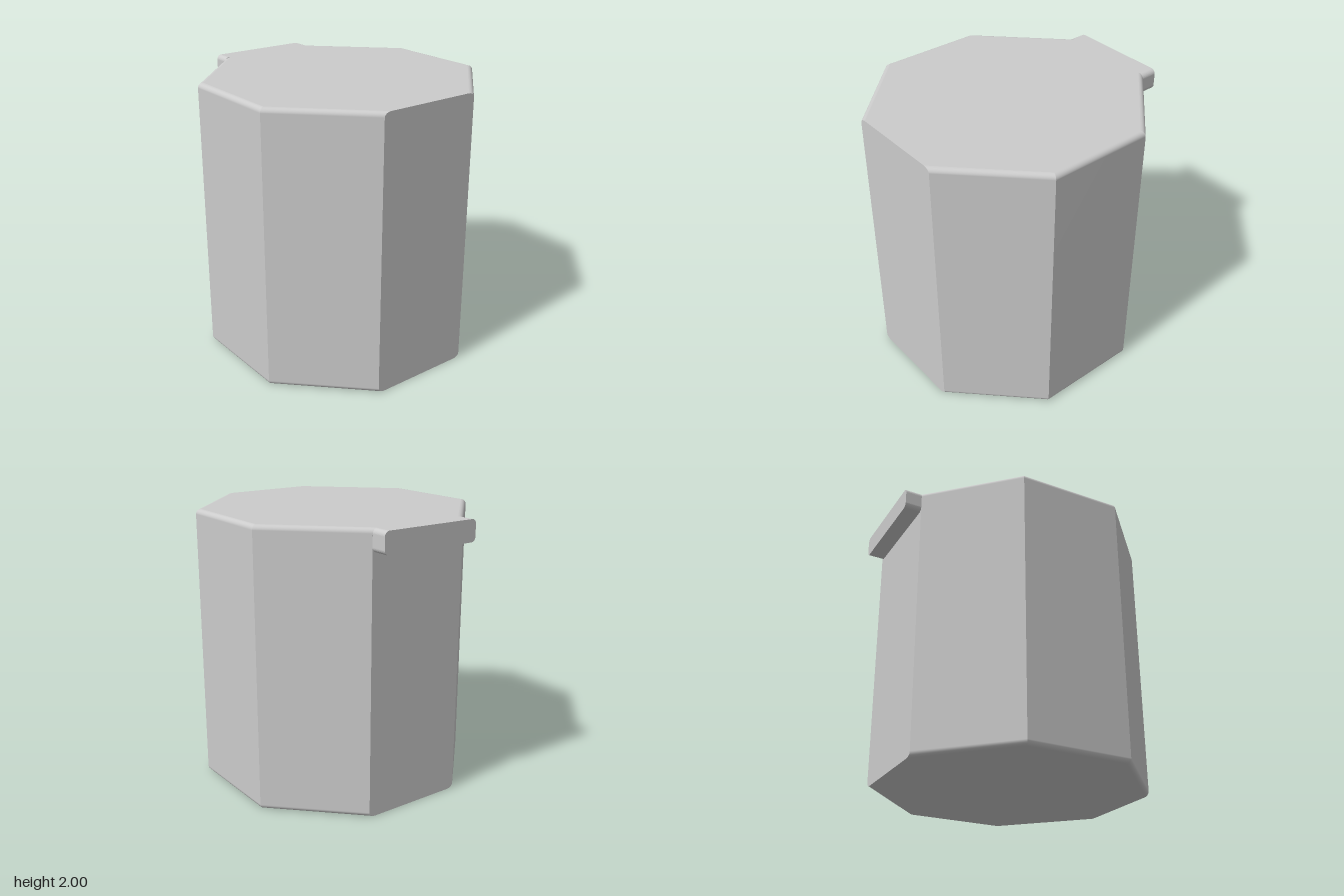
import * as THREE from 'three';

const A = 0.925;        // centre to flat of the octagon
const R = 0.035;        // edge rounding
const STEPS = 6;
const CZ = 0.06;        // body centre in z
const SQ = Math.SQRT2;

// Octagon corners at height y; all flats but front and back move inward by d.
function ring(d, y) {
  const front = A * (SQ - 1) - d * SQ;
  const side = A * (SQ - 1) - d * (SQ - 1);
  const x = A - d;
  return [
    [-front, A], [front, A], [x, side], [x, -side],
    [front, -A], [-front, -A], [-x, -side], [-x, side],
  ].map(([px, pz]) => [px, y, pz]);
}

function bodyGeometry() {
  const rows = [];
  for (const top of [false, true]) {
    for (let i = 0; i <= STEPS; i++) {
      const a = ((top ? i : STEPS - i) / STEPS) * Math.PI / 2;
      const rise = R * (1 - Math.sin(a));
      rows.push(ring(R * (1 - Math.cos(a)), top ? 2 - rise : rise));
    }
  }
  const pos = [], idx = [];
  // walls: one strip per flat, so the upright corners stay sharp
  for (let f = 0; f < 8; f++) {
    const base = pos.length / 3;
    rows.forEach((r) => pos.push(...r[f], ...r[(f + 1) % 8]));
    for (let j = 0; j < rows.length - 1; j++) {
      const a = base + j * 2;
      idx.push(a, a + 1, a + 3, a, a + 3, a + 2);
    }
  }
  // flat top and bottom
  for (const [r, up] of [[rows[0], false], [rows[rows.length - 1], true]]) {
    const base = pos.length / 3;
    r.forEach((p) => pos.push(...p));
    for (let i = 1; i < 7; i++) {
      if (up) idx.push(base, base + i, base + i + 1);
      else idx.push(base, base + i + 1, base + i);
    }
  }
  const g = new THREE.BufferGeometry();
  g.setAttribute('position', new THREE.Float32BufferAttribute(pos, 3));
  g.setIndex(idx);
  g.computeVertexNormals();
  return g;
}

// Rounded bar extruded along z
function tabGeometry(w, y0, y1, depth) {
  const s = new THREE.Shape();
  const h = w / 2, q = Math.PI / 2;
  s.absarc(h - R, y0 + R, R, -q, 0);
  s.absarc(h - R, y1 - R, R, 0, q);
  s.absarc(-h + R, y1 - R, R, q, 2 * q);
  s.absarc(-h + R, y0 + R, R, 2 * q, 3 * q);
  s.closePath();
  return new THREE.ExtrudeGeometry(s, { depth, bevelEnabled: false, curveSegments: STEPS });
}

export function createModel() {
  const group = new THREE.Group();
  const material = new THREE.MeshStandardMaterial({ color: 0xcccccc });

  const body = new THREE.Mesh(bodyGeometry(), material);
  body.name = 'octagonalBody';
  body.position.z = CZ;

  // lip at the top of the back
  const tab = new THREE.Mesh(tabGeometry(0.766, 1.845, 2, 0.12), material);
  tab.name = 'backTab';
  tab.position.z = -0.985;

  group.add(body, tab);
  return group;
}
